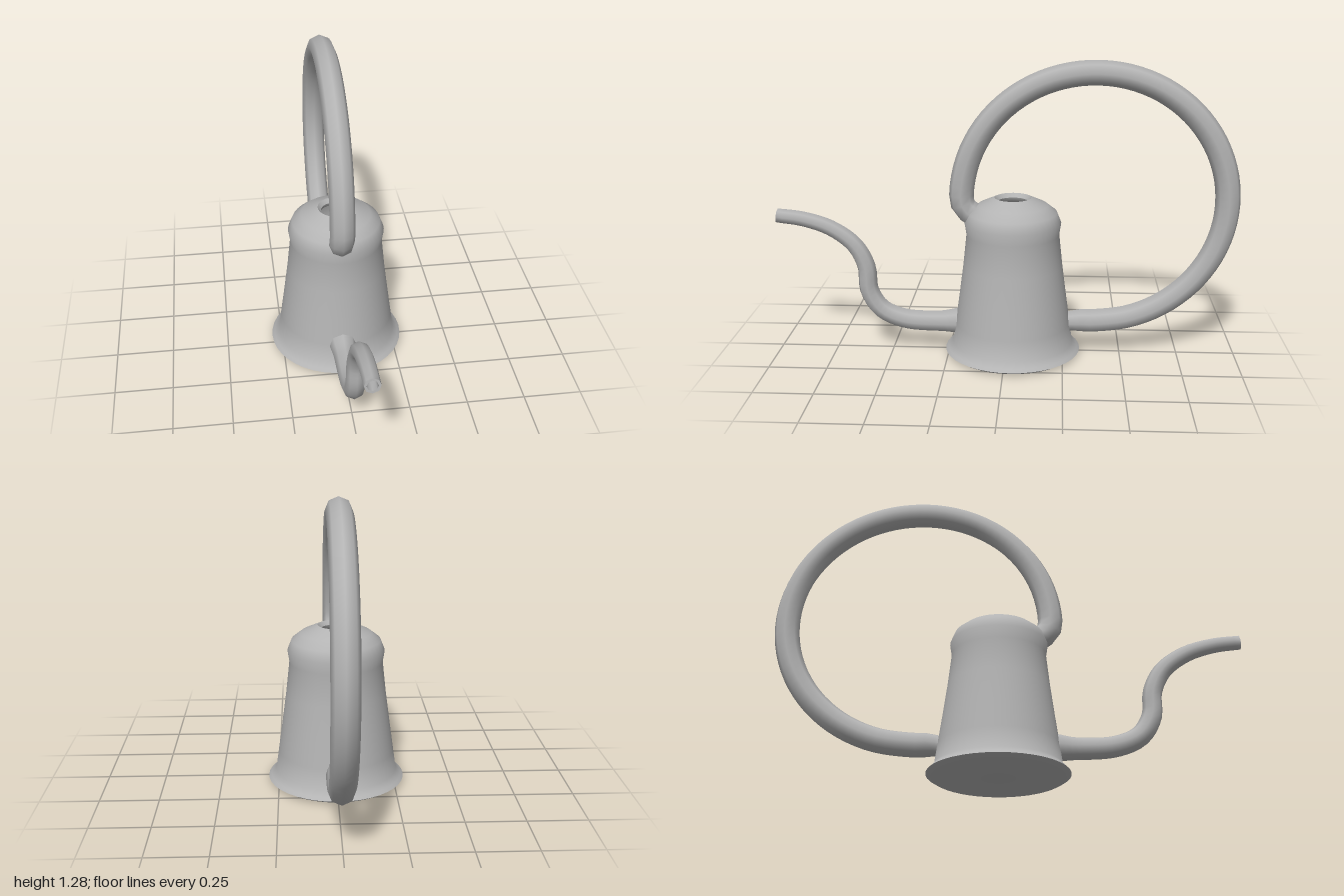
import * as THREE from 'three';
import { toCreasedNormals } from 'three/addons/utils/BufferGeometryUtils.js';

const SIDES = 8;
const CREASE = 0.95;

// Smooth path in the x = 0 plane from [z, y] pairs
function sidePath(pairs) {
  return new THREE.CatmullRomCurve3(pairs.map(([z, y]) => new THREE.Vector3(0, y, z)));
}

// Sweep an octagonal section along a path; each station is [t, radius]
function sweep(path, stations) {
  const pos = [], index = [];
  const across = new THREE.Vector3(1, 0, 0);
  stations.forEach(([t, r], i) => {
    const c = path.getPointAt(t);
    const n = across.clone().cross(path.getTangentAt(t)).normalize();
    for (let j = 0; j < SIDES; j++) {
      const a = (j / SIDES) * Math.PI * 2;
      const p = c.clone().addScaledVector(n, r * Math.cos(a)).addScaledVector(across, r * Math.sin(a));
      pos.push(p.x, p.y, p.z);
      if (i === 0) continue;
      const k = (j + 1) % SIDES, lo = (i - 1) * SIDES, hi = i * SIDES;
      index.push(lo + j, lo + k, hi + k, lo + j, hi + k, hi + j);
    }
  });
  const geo = new THREE.BufferGeometry();
  geo.setAttribute('position', new THREE.Float32BufferAttribute(pos, 3));
  geo.setIndex(index);
  return toCreasedNormals(geo, CREASE);
}

export function createModel() {
  const group = new THREE.Group();
  const metal = new THREE.MeshStandardMaterial({ color: 0xb3b3b3 });
  metal.name = 'greyMetal';

  const add = (name, geo) => {
    const mesh = new THREE.Mesh(geo, metal);
    mesh.name = name;
    group.add(mesh);
    return mesh;
  };

  // Hollow body: flared foot, tapering wall, domed shoulder, open top, inner wall
  const profile = [
    [0, 0.003], [0.27, 0.003], [0.295, 0.018], [0.283, 0.03], [0.262, 0.052],
    [0.25, 0.14], [0.232, 0.27], [0.215, 0.4], [0.2, 0.54], [0.208, 0.59],
    [0.19, 0.635], [0.15, 0.667], [0.078, 0.7],
    [0.064, 0.682], [0.07, 0.665], [0.14, 0.64], [0.175, 0.6], [0.18, 0.53], [0.23, 0.06], [0, 0.04],
  ].map(([r, y]) => new THREE.Vector2(r, y));
  const body = add('body', toCreasedNormals(new THREE.LatheGeometry(profile, 40), CREASE));
  body.position.z = -0.03;

  // Large looping handle from the shoulder round to the lower back
  const loop = [[0.13, 0.615], [0.175, 0.65]];
  for (let i = 0; i <= 16; i++) {
    const a = (i / 16) * Math.PI * 1.5;
    loop.push([-0.375 + 0.565 * Math.cos(a), 0.69 + 0.545 * Math.sin(a)]);
  }
  loop.push([-0.31, 0.145], [-0.25, 0.135]);
  const handleStations = [];
  for (let i = 0; i <= 72; i++) {
    const t = i / 72;
    handleStations.push([t, t > 0.97 ? 0.053 - (t - 0.97) * 0.4 : 0.053]);
  }
  add('handle', sweep(sidePath(loop), handleStations));

  // Tapering S-shaped spout, folded inward at the tip to make an open mouth
  const spoutPath = sidePath([
    [0.19, 0.135], [0.3, 0.13], [0.45, 0.14], [0.55, 0.185], [0.602, 0.27],
    [0.612, 0.38], [0.66, 0.475], [0.76, 0.55], [0.88, 0.59], [0.995, 0.605],
  ]);
  const spoutStations = [];
  for (let i = 0; i <= 40; i++) {
    const t = i / 40;
    spoutStations.push([t, 0.05 - 0.018 * t + 0.012 * Math.max(0, 1 - t * 12)]);
  }
  spoutStations.push([1, 0.022], [0.93, 0.022], [0.93, 0]);
  add('spout', sweep(spoutPath, spoutStations));

  return group;
}
